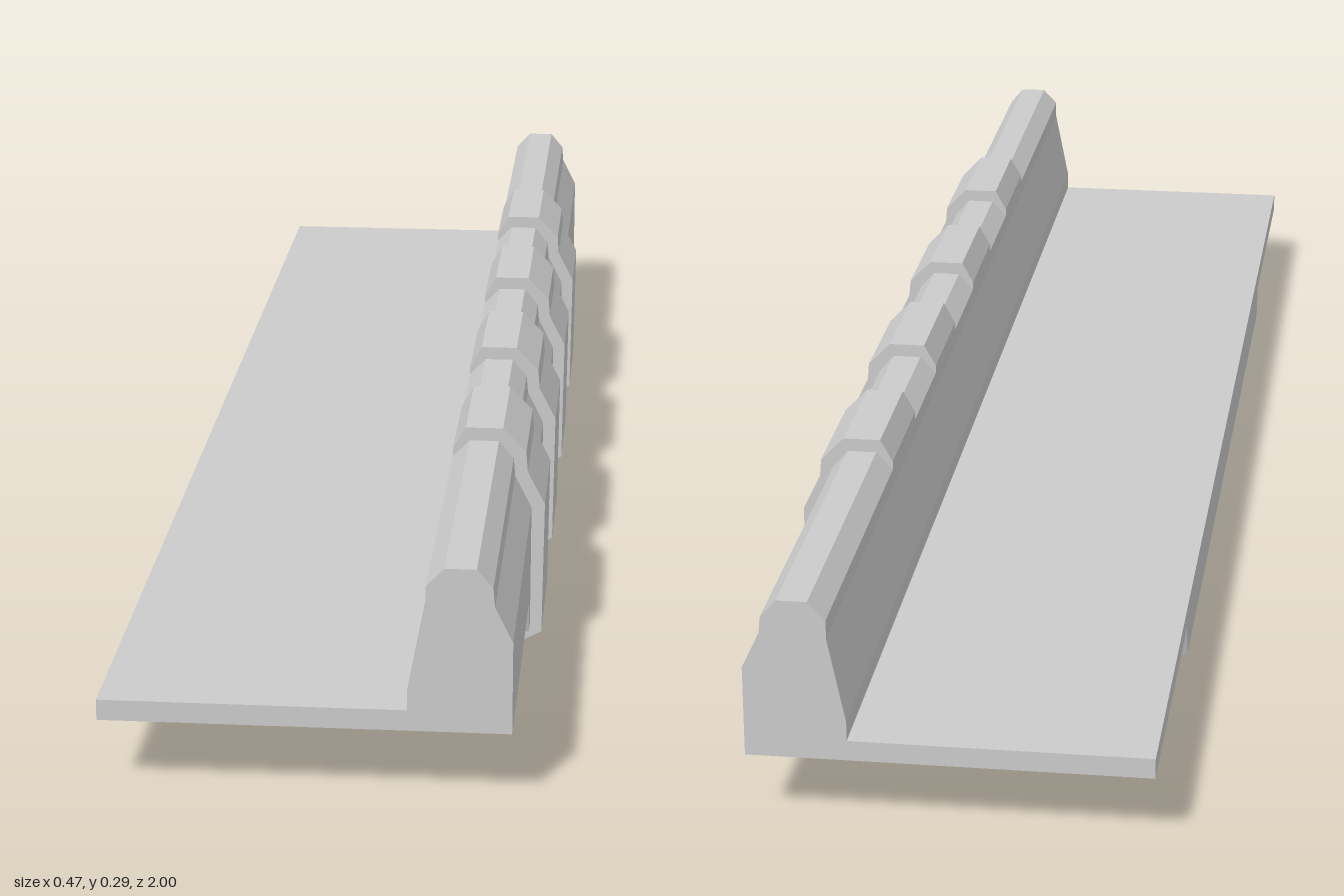
import * as THREE from 'three';

const material = new THREE.MeshStandardMaterial({ color: 0xcccccc, flatShading: true });

// Extrude an x/y outline along z, centred on z = 0
function extrudeZ(points, length) {
  const shape = new THREE.Shape(points.map(([x, y]) => new THREE.Vector2(x, y)));
  const geometry = new THREE.ExtrudeGeometry(shape, { depth: length, bevelEnabled: false });
  return geometry.translate(0, 0, -length / 2);
}

function addPart(group, name, geometry, z = 0) {
  const mesh = new THREE.Mesh(geometry, material);
  mesh.name = name;
  mesh.position.z = z;
  group.add(mesh);
}

export function createModel() {
  const group = new THREE.Group();
  group.name = 'ledgeWithRail';

  // Outer face of the rail and keel, from underside to crest; the bands wrap it
  const railFace = [[0.22, 0.19], [0.2, 0.23], [0.198, 0.252], [0.18, 0.273], [0.145, 0.273], [0.125, 0.252]];

  // Full-length deck with upright rail
  addPart(group, 'deckAndRail', extrudeZ([
    [-0.237, 0.083], [0.22, 0.083], ...railFace,
    [0.125, 0.23], [0.105, 0.13], [0.105, 0.107], [-0.237, 0.107],
  ], 2));

  // Shorter keel below the deck, its ends flaring out towards the top
  const keel = extrudeZ([
    [-0.237, 0.083], [-0.237, 0.042], [-0.19, 0.018],
    [0.17, 0.018], [0.22, 0.042], [0.22, 0.083],
  ], 1.2);
  const p = keel.attributes.position;
  for (let i = 0; i < p.count; i++) {
    if (p.getY(i) > 0.07) p.setZ(i, Math.sign(p.getZ(i)) * 0.613);
  }
  keel.computeVertexNormals();
  addPart(group, 'keel', keel);

  // Four bands wrapped from under the keel over the rail crest
  const band = extrudeZ([
    [0.08, 0.018], [0.08, 0.001], [0.177, 0], [0.234, 0.031], [0.236, 0.195],
    [0.215, 0.235], [0.213, 0.26], [0.185, 0.289], [0.14, 0.289], [0.125, 0.262],
    ...railFace.slice().reverse(), [0.22, 0.042], [0.17, 0.018],
  ], 0.163);
  for (let i = 0; i < 4; i++) addPart(group, 'band', band, (i - 1.5) * 0.326);

  return group;
}
